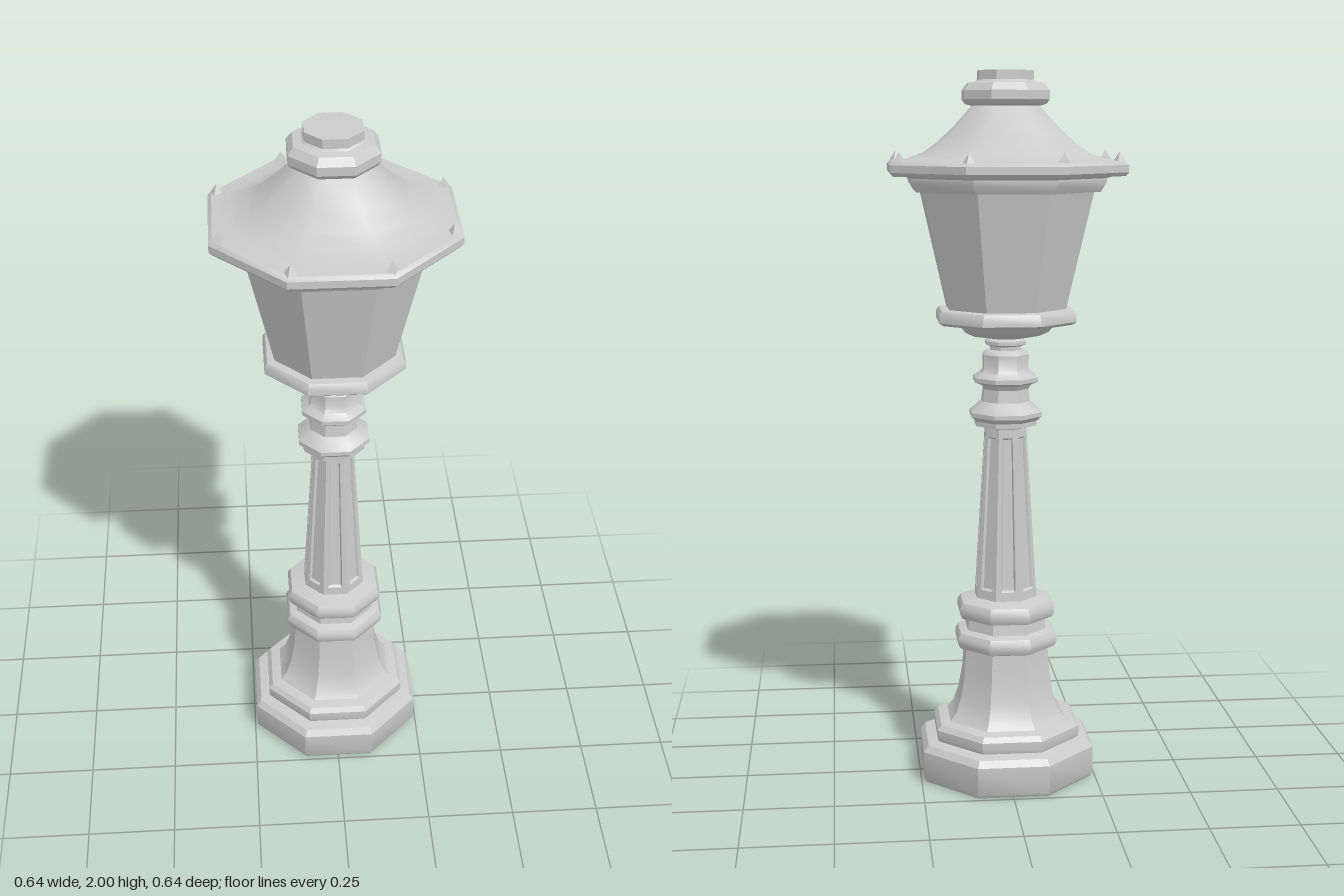
import * as THREE from 'three';
import { toCreasedNormals } from 'three/addons/utils/BufferGeometryUtils.js';

const SIDES = 8;
const CORNER = 1 / Math.cos(Math.PI / SIDES); // half-width across flats -> corner radius
const material = new THREE.MeshStandardMaterial({ color: 0xcccccc, side: THREE.DoubleSide });

function part(name, geometry, crease = 0.6) {
  const mesh = new THREE.Mesh(toCreasedNormals(geometry, crease), material);
  mesh.name = name;
  return mesh;
}

// Eight-sided turning from [half-width, height] pairs, listed bottom to top
function turned(name, profile) {
  const points = profile.map(([r, y]) => new THREE.Vector2(r * CORNER, y));
  return part(name, new THREE.LatheGeometry(points, SIDES, Math.PI / SIDES));
}

// Tapered octagonal shaft with a shallow sunken panel in every side
function shaftGeometry() {
  const y0 = 0.5, y1 = 1.03, r0 = 0.087, r1 = 0.056;
  const rows = [[y0, 0], [0.55, 0], [0.555, 0.007], [0.985, 0.007], [0.99, 0], [y1, 0]];
  const across = [[0, 0], [0.2, 0], [0.26, 1], [0.74, 1], [0.8, 0]];
  const positions = [], index = [];
  const n = SIDES * across.length;
  rows.forEach(([y, depth], row) => {
    const r = THREE.MathUtils.mapLinear(y, y0, y1, r0, r1);
    for (let s = 0; s < SIDES; s++) {
      const a = (s * 2 * Math.PI) / SIDES;
      for (const [t, sunk] of across) {
        const along = (t * 2 - 1) * r * Math.tan(Math.PI / SIDES);
        const out = r - depth * sunk;
        positions.push(out * Math.sin(a) + along * Math.cos(a), y, out * Math.cos(a) - along * Math.sin(a));
      }
    }
    if (row === rows.length - 1) return;
    for (let i = 0; i < n; i++) {
      const a = row * n + i, b = row * n + ((i + 1) % n);
      index.push(a, b, b + n, a, b + n, a + n);
    }
  });
  const geometry = new THREE.BufferGeometry();
  geometry.setAttribute('position', new THREE.Float32BufferAttribute(positions, 3));
  geometry.setIndex(index);
  return geometry;
}

export function createModel() {
  const lamp = new THREE.Group();
  lamp.name = 'streetLamp';

  // Foot and stepped plinth
  lamp.add(turned('foot', [
    [0, 0], [0.235, 0], [0.243, 0.012], [0.243, 0.09], [0.23, 0.108], [0.2, 0.115],
  ]));
  lamp.add(turned('plinth', [
    [0.2, 0.115], [0.203, 0.125], [0.203, 0.148], [0.192, 0.162], [0.165, 0.168],
    [0.148, 0.19], [0.133, 0.235], [0.122, 0.3], [0.117, 0.375],
  ]));

  // Two rings below the shaft
  lamp.add(turned('lowerRings', [
    [0.117, 0.375], [0.135, 0.382], [0.141, 0.395], [0.141, 0.41], [0.133, 0.425],
    [0.112, 0.432], [0.108, 0.462], [0.128, 0.468], [0.134, 0.48], [0.134, 0.5],
    [0.126, 0.514], [0.1, 0.52], [0.084, 0.525],
  ]));

  lamp.add(part('shaft', shaftGeometry(), 0.4));

  // Rings and neck above the shaft
  lamp.add(turned('upperRings', [
    [0.056, 1.015], [0.085, 1.022], [0.085, 1.035], [0.098, 1.048], [0.098, 1.06], [0.08, 1.075],
    [0.066, 1.09], [0.062, 1.125], [0.07, 1.138], [0.088, 1.146], [0.088, 1.158],
    [0.068, 1.172], [0.063, 1.18], [0.063, 1.222], [0.055, 1.23],
    [0.042, 1.235], [0.042, 1.245], [0.055, 1.25], [0.055, 1.26], [0.045, 1.267],
  ]));

  // Bowl and plate carrying the lantern
  lamp.add(turned('lanternBase', [
    [0.045, 1.267], [0.09, 1.275], [0.115, 1.287], [0.13, 1.305], [0.18, 1.31],
    [0.19, 1.318], [0.19, 1.338], [0.182, 1.35], [0.162, 1.353],
  ]));

  // Flared glass body
  lamp.add(turned('lanternBody', [[0.162, 1.353], [0.233, 1.675]]));

  // Cornice, eave and concave roof
  lamp.add(turned('cornice', [
    [0.233, 1.675], [0.25, 1.675], [0.265, 1.7], [0.265, 1.712], [0.285, 1.718],
  ]));
  lamp.add(turned('roof', [
    [0.285, 1.718], [0.313, 1.718], [0.322, 1.728], [0.322, 1.748], [0.312, 1.757],
    [0.265, 1.762], [0.222, 1.778], [0.185, 1.805], [0.14, 1.848], [0.09, 1.905],
  ]));

  // Finial ring and flat cap
  lamp.add(turned('finial', [
    [0.09, 1.905], [0.108, 1.91], [0.117, 1.922], [0.117, 1.946], [0.102, 1.966],
    [0.08, 1.97], [0.075, 1.975], [0.075, 2], [0, 2],
  ]));

  // Small studs on the eave corners
  const studs = new THREE.Group();
  studs.name = 'roofStuds';
  for (let i = 0; i < SIDES; i++) {
    const a = ((i + 0.5) * 2 * Math.PI) / SIDES;
    const stud = part('roofStud', new THREE.ConeGeometry(0.02, 0.03, 4), 0.1);
    stud.position.set(0.322 * Math.sin(a), 1.769, 0.322 * Math.cos(a));
    stud.rotation.y = a;
    studs.add(stud);
  }
  lamp.add(studs);

  return lamp;
}
